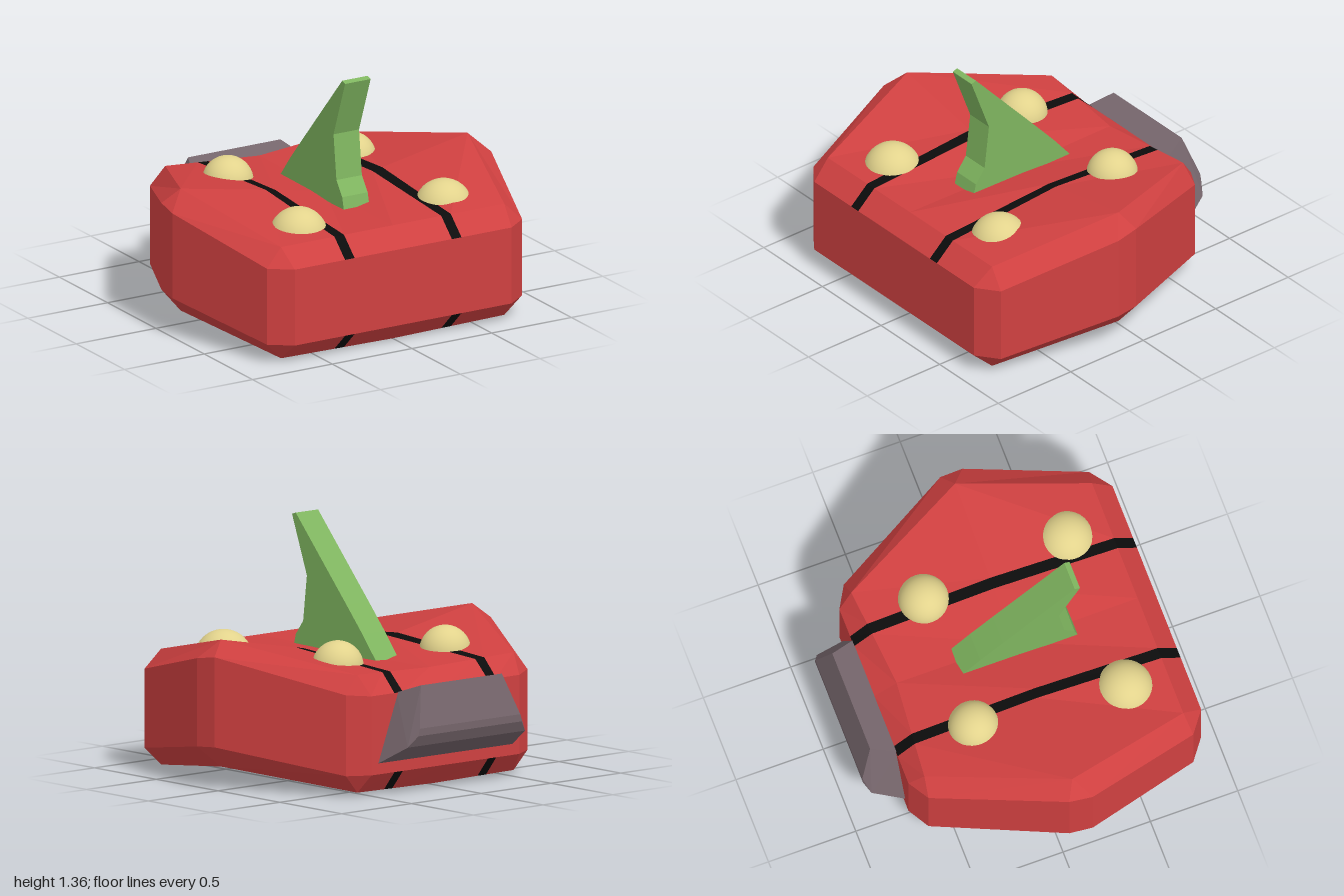
import * as THREE from 'three';
import { ConvexGeometry } from 'three/addons/geometries/ConvexGeometry.js';

const mat = (name, color) => {
  const m = new THREE.MeshStandardMaterial({ color });
  m.name = name;
  return m;
};

// Collects quads into a faceted geometry; corners run counter-clockwise from outside.
class Facets {
  constructor() { this.tris = []; }
  tri(a, b, c) {
    const t = new THREE.Triangle(...[a, b, c].map(p => new THREE.Vector3(...p)));
    if (t.getArea() > 1e-6) this.tris.push(...a, ...b, ...c);
  }
  quad(a, b, c, d) { this.tri(a, b, c); this.tri(a, c, d); }
  build() {
    const g = new THREE.BufferGeometry();
    g.setAttribute('position', new THREE.Float32BufferAttribute(this.tris, 3));
    g.computeVertexNormals();
    return g;
  }
}

export function createModel() {
  const root = new THREE.Group();
  const red = mat('red shell', 0xcf4040);
  const black = mat('black stripe', 0x0c0c0c);
  const green = mat('green fin', 0x7fb55f);
  const tan = mat('tan dome', 0xe2d38c);
  const grey = mat('grey bumper', 0x75656b);

  const add = (name, geometry, material) => {
    const m = new THREE.Mesh(geometry, material);
    m.name = name;
    root.add(m);
    return m;
  };

  const shell = new Facets(), stripes = new Facets();

  // Half outline, front to back: x, z, wall bottom y, wall top y
  const outline = [
    [0.68, 0.91, 0.11, 0.54], [0.80, 0.82, 0.11, 0.54],
    [1.00, 0.17, 0.22, 0.70], [0.99, 0.04, 0.23, 0.72],
    [0.65, -0.64, 0.12, 0.56], [0.53, -0.71, 0.12, 0.55],
  ];
  // Inset corners shared by each outline pair: x, z, bottom y, top y
  const inset = [[0.70, 0.80, 0.01, 0.64], [0.90, 0.09, 0.11, 0.80], [0.56, -0.63, 0.02, 0.66]];
  const mirrorRing = half => [...half, ...[...half].reverse().map(([x, ...r]) => [-x, ...r])];
  const outer = mirrorRing(outline);
  const inner = mirrorRing(outline.map((_, i) => inset[i >> 1]));
  const low = p => [p[0], p[2], p[1]], high = p => [p[0], p[3], p[1]];

  // Walls all round, with bevels on the flanks
  for (let i = 0; i < 12; i++) {
    const j = (i + 1) % 12;
    shell.quad(low(outer[i]), low(outer[j]), high(outer[j]), high(outer[i]));
    if (i % 6 === 5) continue;
    shell.quad(high(outer[i]), high(outer[j]), high(inner[j]), high(inner[i]));
    shell.quad(low(inner[i]), low(inner[j]), low(outer[j]), low(outer[i]));
  }

  // Deck and underside, front bevel to back bevel: edge x, z, edge y, centre y, centre z
  const topRows = [
    [0.68, 0.91, 0.54, 0.54, 0.91], [0.70, 0.80, 0.64, 0.64, 0.80],
    [0.90, 0.09, 0.80, 0.63, 0.09],
    [0.56, -0.63, 0.66, 0.635, -0.58], [0.53, -0.71, 0.55, 0.55, -0.71],
  ];
  const bottomRows = [
    [0.68, 0.91, 0.11, 0.11, 0.91], [0.70, 0.80, 0.01, 0.0, 0.80],
    [0.90, 0.09, 0.11, 0.0, 0.09],
    [0.56, -0.63, 0.02, 0.01, -0.62], [0.53, -0.71, 0.12, 0.12, -0.71],
  ];
  const rowPoints = ([ex, ez, ey, cy, cz]) =>
    [-ex, -0.365, -0.305, 0, 0.305, 0.365, ex].map(x => {
      const t = Math.abs(x) / ex;
      return [x, THREE.MathUtils.lerp(cy, ey, t), THREE.MathUtils.lerp(cz, ez, t)];
    });
  const sheet = (rows, up) => {
    const g = rows.map(rowPoints);
    for (let r = 0; r < 4; r++) for (let c = 0; c < 6; c++) {
      const q = [g[r][c], g[r][c + 1], g[r + 1][c + 1], g[r + 1][c]];
      if (!up) q.reverse();
      (c === 1 || c === 4 ? stripes : shell).quad(...q);
    }
  };
  sheet(topRows, true);
  sheet(bottomRows, false);
  add('body', shell.build(), red);
  add('stripes', stripes.build(), black);

  // Domes set into the deck
  const domes = [
    [-0.445, 0.59, 0.56, 0.16], [0.465, 0.59, 0.56, 0.16],
    [-0.38, 0.645, -0.28, 0.14], [0.39, 0.645, -0.28, 0.14],
  ];
  for (const [x, y, z, r] of domes) {
    add('dome', new THREE.SphereGeometry(r, 32, 20), tan).position.set(x, y, z);
  }

  // Fin: side profile (z, y) extruded across x
  const profile = [
    [0.43, 0.62], [0.41, 0.70], [0.35, 0.78], [0.32, 1.03], [0.44, 1.35],
    [0.41, 1.36], [0, 0.91], [-0.13, 0.765], [-0.25, 0.62],
  ];
  const finShape = new THREE.Shape(profile.map(([z, y]) => new THREE.Vector2(-z, y)));
  const fin = new THREE.ExtrudeGeometry(finShape, { depth: 0.16, bevelEnabled: false });
  fin.translate(0, 0, -0.08).rotateY(Math.PI / 2);
  add('fin', fin, green);

  // Rear bumper: hull of rows given as half width, y, z
  const bumperRows = [
    [0.34, 0.55, -0.70], [0.29, 0.60, -0.84], [0.36, 0.38, -0.91],
    [0.37, 0.34, -0.91], [0.42, 0.28, -0.88], [0.48, 0.18, -0.71],
  ];
  const hull = bumperRows.flatMap(([x, y, z]) =>
    [new THREE.Vector3(x, y, z), new THREE.Vector3(-x, y, z)]);
  add('bumper', new ConvexGeometry(hull), grey);

  return root;
}
